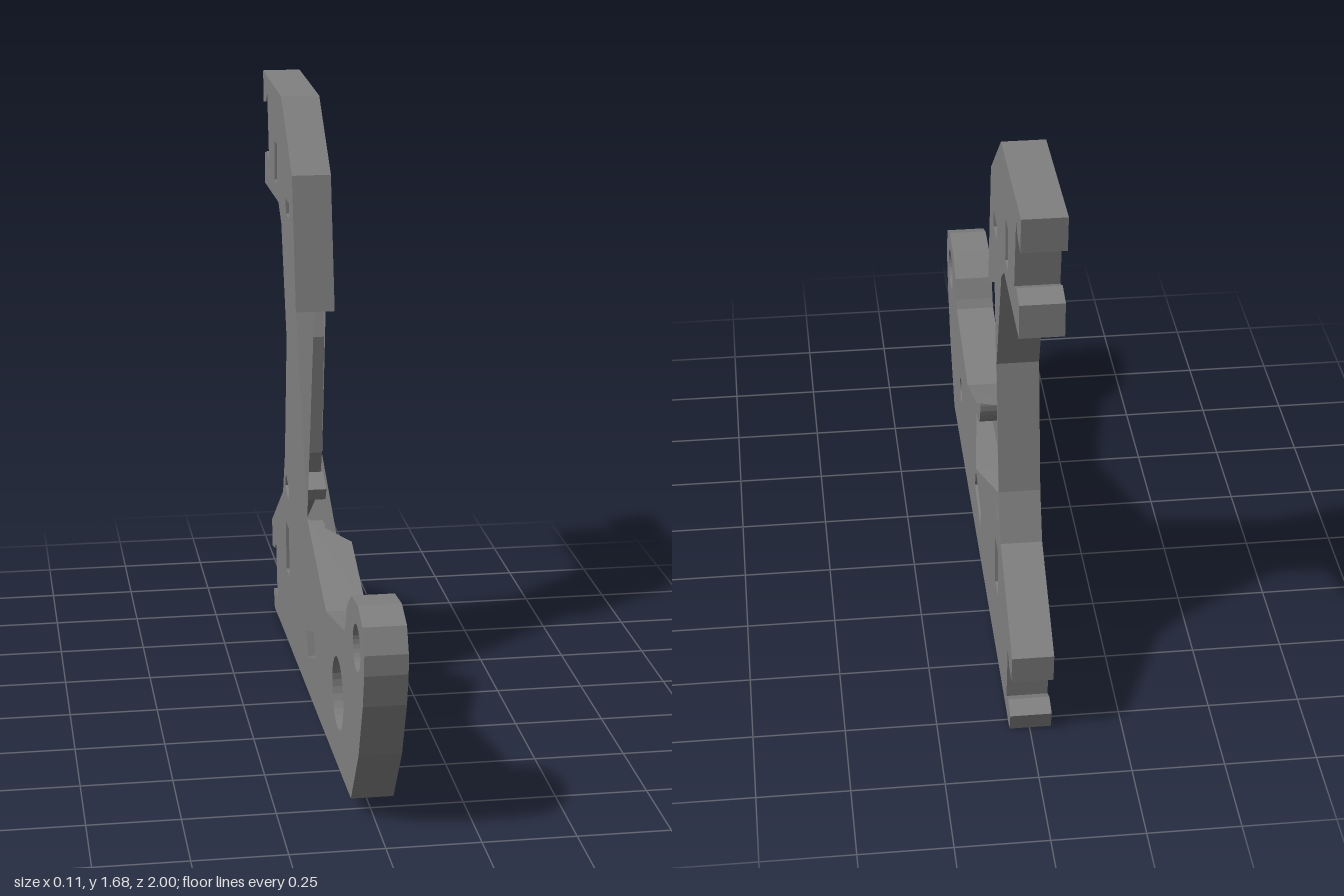
import * as THREE from 'three';

const XL = 0.055, XR = -0.058; // the two plate faces

// Side profile as [z, y] pairs, split where the open part of the shell begins
const A = [-0.26, 1.1], B = [-0.03, 0.55], C = [0.34, 0.405];
const frontNose = [
  C, [0.675, 0.475], [0.69, 0.5], [0.715, 0.56], [0.79, 0.615], [0.895, 0.625], [0.97, 0.595],
  [1, 0.53], [1, 0.475], [0.98, 0.385], [0.915, 0.225], [0.79, 0.05],
];
const lowerClaw = [
  [-0.57, 0.01], [-0.79, 0.002], [-0.81, 0.06], [-0.755, 0.075], [-0.715, 0.055], [-0.745, 0.235],
  [-0.78, 0.205], [-0.835, 0.195], [-0.845, 0.28], [-0.57, 0.46], [-0.52, 0.595], [-0.47, 0.97],
];
const upperClaw = [
  [-0.58, 1.295], [-0.645, 1.345], [-0.965, 1.34], [-0.97, 1.435], [-0.91, 1.45], [-0.865, 1.43],
  [-0.9, 1.63], [-0.93, 1.6], [-0.99, 1.59], [-1, 1.685], [-0.57, 1.675], [-0.335, 1.485], A,
];
const closedRun = [...frontNose, ...lowerClaw, ...upperClaw];
const cutCorner = [0.07, 0.51];
const opening = [[-0.42, 1.19], [-0.515, 0.59], [0.1, 0.262], cutCorner];

const rect = (z0, z1, y0, y1) => [[z0, y0], [z1, y0], [z1, y1], [z0, y1]];
const circle = (z, y, r, n = 32) => Array.from({ length: n }, (_, i) => {
  const t = (i / n) * Math.PI * 2;
  return [z + r * Math.cos(t), y + r * Math.sin(t)];
});
const slots = {
  upperSlot: rect(-0.475, -0.4, 1.345, 1.39),
  upperWindow: rect(-0.735, -0.67, 1.395, 1.515),
  lowerWindow: rect(-0.5, -0.43, 0.235, 0.385),
  tiltedSlot: [[-0.425, 0.508], [-0.5, 0.54], [-0.515, 0.497], [-0.445, 0.47]],
  centreSlot: [[0.1, 0.255], [-0.045, 0.205], [-0.02, 0.135], [0.13, 0.185]],
  noseHole: circle(0.877, 0.505, 0.062),
};
const smallHole = circle(0.557, 0.252, 0.038);
const counterbore = circle(0.557, 0.252, 0.1);
const STEP = 0.005; // depth position of the counterbore floor

const toPoints = (pts) => pts.map(([z, y]) => new THREE.Vector2(-z, y));

// Flat face in a plane of constant x
function face(outline, holes, x, flip = false) {
  const shape = new THREE.Shape(toPoints(outline));
  shape.holes = holes.map((h) => new THREE.Path(toPoints(h)));
  const g = new THREE.ShapeGeometry(shape);
  g.rotateY(Math.PI / 2).translate(x, 0, 0);
  if (flip) {
    g.index.array.reverse();
    g.computeVertexNormals();
  }
  return g;
}

// Flat-shaded triangles from [x, z, y] corners, each polygon drawn as a fan
function polygons(list) {
  const pos = [];
  for (const p of list)
    for (let i = 1; i < p.length - 1; i++)
      for (const [x, z, y] of [p[0], p[i], p[i + 1]]) pos.push(x, y, z);
  const g = new THREE.BufferGeometry();
  g.setAttribute('position', new THREE.Float32BufferAttribute(pos, 3));
  g.computeVertexNormals();
  return g;
}

// Wall swept across the plate along a profile
function wall(pts, x0, x1, closed) {
  const quads = [];
  for (let i = 0; i < pts.length - (closed ? 0 : 1); i++) {
    const p = pts[i], q = pts[(i + 1) % pts.length];
    quads.push([[x0, ...p], [x0, ...q], [x1, ...q], [x1, ...p]]);
  }
  return polygons(quads);
}

export function createModel() {
  const group = new THREE.Group();
  const grey = new THREE.MeshStandardMaterial({ color: 0x808080, side: THREE.DoubleSide });
  grey.name = 'grey';
  const add = (name, geometry) => {
    const mesh = new THREE.Mesh(geometry, grey);
    mesh.name = name;
    group.add(mesh);
  };

  // Plate faces: the left one is open across the middle of the arm
  const holes = Object.values(slots);
  add('leftFace', face([...closedRun, ...opening], [...holes, smallHole], XL));
  add('rightFace', face([...closedRun, B], [...holes, counterbore], XR, true));

  // Rim, with two walls cut back where the shell is open
  add('rim', wall(closedRun, XR, XL, false));
  add('cutArmWall', polygons([[[XR, ...A], [-0.005, ...A], [XR, ...B]]]));
  add('cutNeckWall', polygons([[[XR, ...B], [XL, ...cutCorner], [XL, ...C], [XR, ...C]]]));

  // Through holes
  for (const [name, pts] of Object.entries(slots)) add(name, wall(pts, XL, XR, true));

  // Stepped pivot hole
  add('pivotHole', wall(smallHole, XL, STEP, true));
  add('counterboreWall', wall(counterbore, STEP, XR, true));
  add('counterboreFloor', face(counterbore, [smallHole], STEP, true));

  return group;
}
